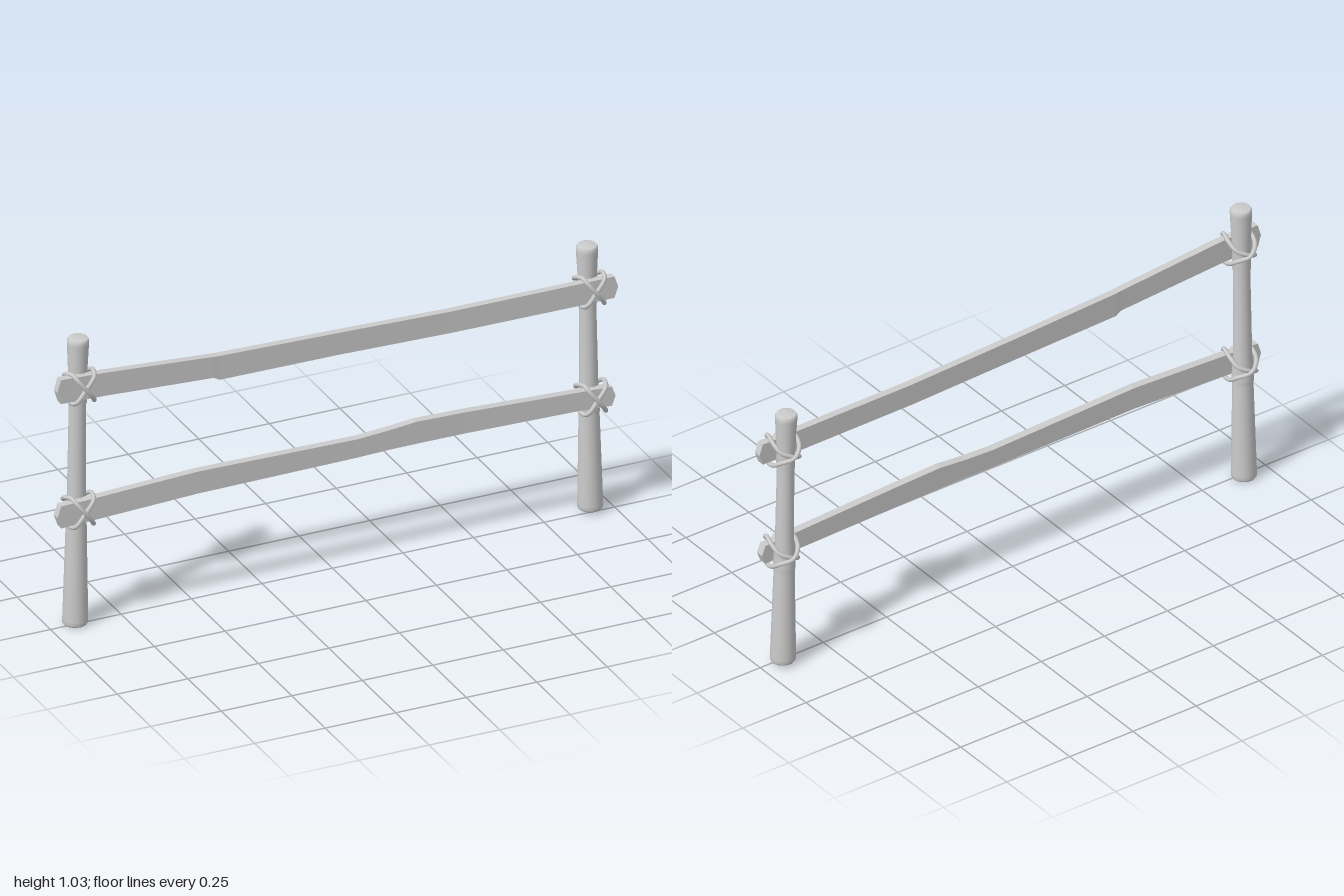
import * as THREE from 'three';

const material = new THREE.MeshStandardMaterial({ color: 0xcccccc });
const flatMaterial = new THREE.MeshStandardMaterial({ color: 0xcccccc, flatShading: true });

function addMesh(group, name, geometry, mat = material) {
  const mesh = new THREE.Mesh(geometry, mat);
  mesh.name = name;
  group.add(mesh);
}

// Round post turned from [radius, y], leaning from its base to its top centre
function postGeometry(profile, base, top) {
  const y0 = profile[0][1], y1 = profile[profile.length - 1][1];
  const points = [[0, y0], ...profile, [0, y1]].map(([r, y]) => new THREE.Vector2(r, y));
  const geometry = new THREE.LatheGeometry(points, 20);
  const pos = geometry.attributes.position;
  for (let i = 0; i < pos.count; i++) {
    const t = (pos.getY(i) - y0) / (y1 - y0);
    pos.setX(i, pos.getX(i) + THREE.MathUtils.lerp(base[0], top[0], t));
    pos.setZ(i, pos.getZ(i) + THREE.MathUtils.lerp(base[1], top[1], t));
  }
  return geometry;
}

// Rough plank lofted through sections [x, top, bottom, zCentre], with blunt pointed ends
function railGeometry(sections, thickness) {
  const n = sections.length - 1;
  const geometry = new THREE.BoxGeometry(1, 1, 1, n, 2, 1);
  const pos = geometry.attributes.position;
  for (let i = 0; i < pos.count; i++) {
    const k = Math.round((pos.getX(i) + 0.5) * n);
    const [x, top, bottom, z] = sections[k];
    const v = pos.getY(i);
    const tip = Math.abs(v) < 0.1 ? (k === 0 ? -0.013 : k === n ? 0.013 : 0) : 0;
    pos.setXYZ(i, x + tip, THREE.MathUtils.lerp(bottom, top, v + 0.5), z + pos.getZ(i) * thickness);
  }
  return geometry;
}

// One slanted rope loop: diagonal over the rail, crossing behind the post
function ropeGeometry(x, y, postZ, railZ, side, lift) {
  const points = [
    [-0.030, 0.040, railZ + 0.020],
    [0, 0, railZ + 0.024 + lift],
    [0.030, -0.040, railZ + 0.020],
    [0.037, -0.051, railZ + 0.002],
    [0.044, -0.042, postZ + 0.008],
    [0.036, -0.020, postZ - 0.025],
    [0, 0, postZ - 0.042 - lift],
    [-0.036, 0.020, postZ - 0.025],
    [-0.044, 0.042, postZ + 0.008],
    [-0.037, 0.051, railZ + 0.002],
  ].map(([px, py, pz]) => new THREE.Vector3(x + side * px, y + py, pz));
  const curve = new THREE.CatmullRomCurve3(points, true, 'centripetal');
  return new THREE.TubeGeometry(curve, 60, 0.0075, 8, true);
}

export function createModel() {
  const group = new THREE.Group();

  // Posts: wide foot, slim neck, slightly flared bevelled head
  addMesh(group, 'rightPost', postGeometry([
    [0.038, 0], [0.042, 0.006], [0.042, 0.02], [0.034, 0.365], [0.036, 0.37], [0.036, 0.39],
    [0.031, 0.47], [0.028, 0.79], [0.031, 0.8], [0.030, 0.88],
    [0.036, 1.01], [0.036, 1.022], [0.031, 1.03],
  ], [-0.908, -0.01], [-0.901, -0.003]));
  addMesh(group, 'leftPost', postGeometry([
    [0.038, 0.01], [0.042, 0.016], [0.042, 0.03], [0.034, 0.355], [0.036, 0.36], [0.036, 0.39],
    [0.031, 0.47], [0.028, 0.745], [0.031, 0.75], [0.030, 0.82],
    [0.036, 0.935], [0.036, 0.948], [0.031, 0.956],
  ], [0.921, -0.015], [0.912, -0.021]));

  // Rails
  addMesh(group, 'upperRail', railGeometry([
    [-0.985, 0.917, 0.831, 0.034], [-0.83, 0.909, 0.826, 0.033], [-0.44, 0.879, 0.803, 0.029],
    [-0.42, 0.877, 0.791, 0.028], [0, 0.863, 0.784, 0.021], [0.4, 0.850, 0.773, 0.018],
    [0.85, 0.848, 0.770, 0.018], [0.985, 0.849, 0.772, 0.019],
  ], 0.026), flatMaterial);
  addMesh(group, 'lowerRail', railGeometry([
    [-0.985, 0.462, 0.383, 0.034], [-0.83, 0.467, 0.389, 0.034], [-0.5, 0.481, 0.402, 0.034],
    [0.07, 0.468, 0.402, 0.026], [0.18, 0.474, 0.404, 0.024], [0.28, 0.483, 0.404, 0.023],
    [0.45, 0.478, 0.402, 0.021], [0.85, 0.460, 0.393, 0.020], [0.975, 0.455, 0.386, 0.020],
  ], 0.028), flatMaterial);

  // Rope lashings: two crossed loops at every joint
  const joints = [
    ['upperRight', -0.902, 0.869, -0.004, 0.037],
    ['lowerRight', -0.905, 0.424, -0.007, 0.038],
    ['upperLeft', 0.914, 0.810, -0.020, 0.022],
    ['lowerLeft', 0.918, 0.422, -0.018, 0.024],
  ];
  for (const [name, x, y, postZ, railZ] of joints) {
    const lashing = new THREE.Group();
    lashing.name = name + 'Lashing';
    for (const side of [-1, 1]) {
      addMesh(lashing, 'ropeLoop', ropeGeometry(x, y, postZ, railZ, side, side > 0 ? 0.008 : 0));
    }
    group.add(lashing);
  }
  return group;
}
